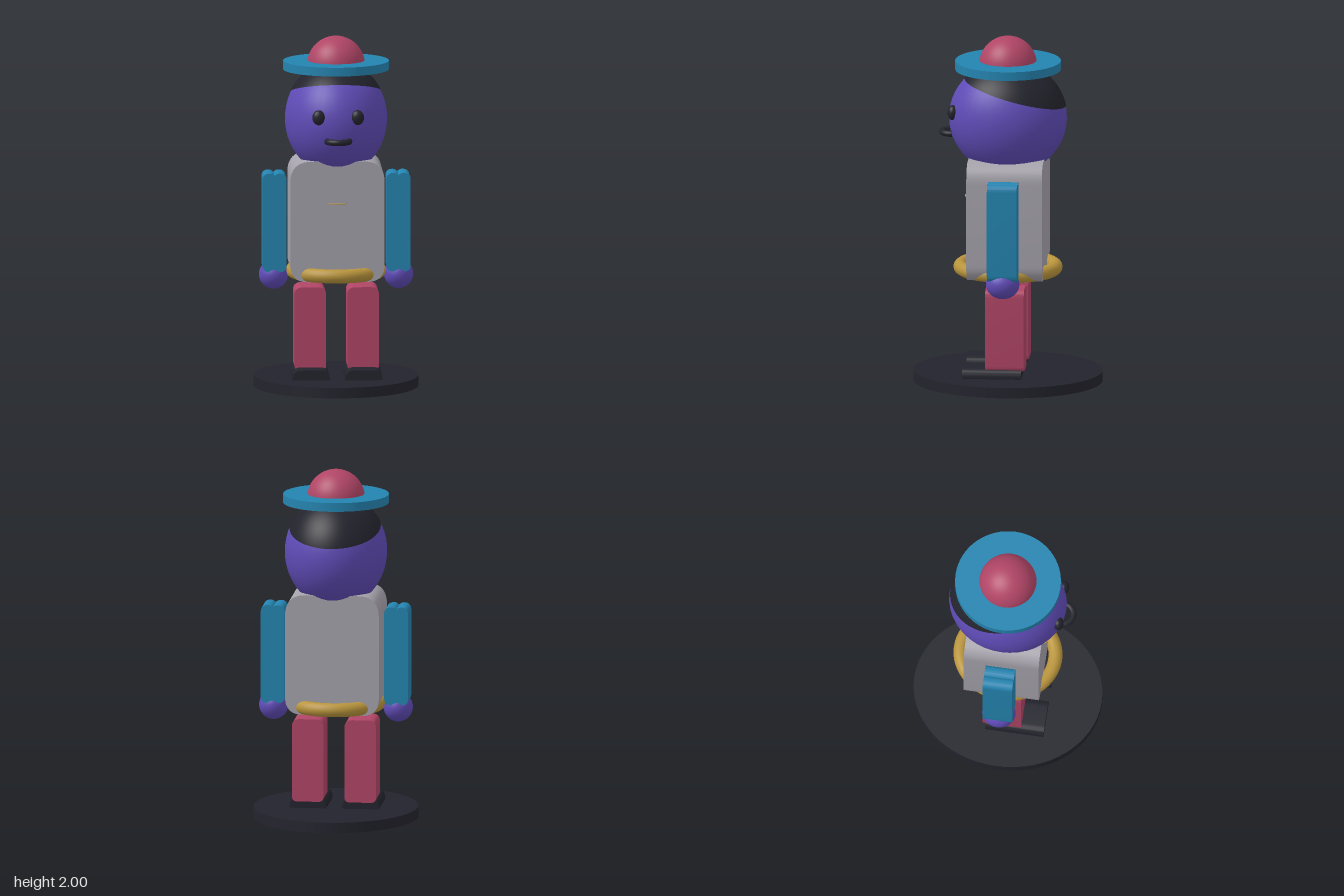
import * as THREE from 'three';
import { toCreasedNormals } from 'three/addons/utils/BufferGeometryUtils.js';

const material = (name, color) => {
  const m = new THREE.MeshStandardMaterial({ color });
  m.name = name;
  return m;
};

export function createModel() {
  const group = new THREE.Group();
  const purple = material('purple', 0x5f4bb6);
  const blue = material('blue', 0x2484b0);
  const red = material('red', 0xb04566);
  const grey = material('grey', 0xa5a2ab);
  const gold = material('gold', 0xb8943c);
  const dark = material('dark', 0x23232d);

  const add = (name, geometry, mat, x, y, z) => {
    const mesh = new THREE.Mesh(geometry, mat);
    mesh.name = name;
    mesh.position.set(x, y, z);
    group.add(mesh);
    return mesh;
  };
  const ellipsoid = (rx, ry, rz) => new THREE.SphereGeometry(1, 40, 28).scale(rx, ry, rz);

  // Block with a rounded front outline, flat front and back; dip lowers the middle of the top
  const block = (w, h, d, top, bottom, dip = 0) => {
    const s = new THREE.Shape();
    const x = w / 2, y = h / 2;
    s.moveTo(-x + bottom, -y);
    s.lineTo(x - bottom, -y);
    s.quadraticCurveTo(x, -y, x, -y + bottom);
    s.lineTo(x, y - top);
    s.quadraticCurveTo(x, y, x - top, y);
    if (dip) s.quadraticCurveTo((x - top) * 0.4, y, 0, y - dip);
    if (dip) s.quadraticCurveTo((top - x) * 0.4, y, top - x, y);
    else s.lineTo(-x + top, y);
    s.quadraticCurveTo(-x, y, -x, y - top);
    s.lineTo(-x, -y + bottom);
    s.quadraticCurveTo(-x, -y, -x + bottom, -y);
    const g = new THREE.ExtrudeGeometry(s, { depth: d, bevelEnabled: false, curveSegments: 10 });
    return toCreasedNormals(g.translate(0, 0, -d / 2), 0.5);
  };

  // Oval base
  add('base', new THREE.CylinderGeometry(1, 1, 0.06, 64).scale(0.467, 1, 0.537), dark, 0, 0.03, 0);

  // Torso, belt and chest badge
  add('torso', block(0.535, 0.69, 0.43, 0.12, 0.1), grey, 0, 0.965, 0);
  const belt = new THREE.TorusGeometry(0.27, 0.04, 16, 64).rotateX(Math.PI / 2).scale(0.92, 1, 1);
  add('belt', belt, gold, 0, 0.66, 0);
  const badge = new THREE.CylinderGeometry(0.06, 0.06, 0.003, 24).scale(1, 1, 0.6);
  add('badge', badge, gold, 0, 1.07, 0.21);

  // Limbs, mirrored
  for (const [side, s] of [['left', 1], ['right', -1]]) {
    add(side + 'Leg', block(0.18, 0.475, 0.22, 0.045, 0.03), red, s * 0.15, 0.337, 0);
    add(side + 'Foot', block(0.21, 0.06, 0.335, 0.05, 0.005), dark, s * 0.15, 0.087, 0.073);
    add(side + 'Arm', block(0.137, 0.565, 0.17, 0.04, 0.04, 0.014), blue, s * 0.352, 0.942, 0);
    add(side + 'Hand', ellipsoid(0.083, 0.083, 0.095), purple, s * 0.355, 0.637, 0);
    add(side + 'Eye', ellipsoid(0.037, 0.043, 0.03), dark, s * 0.11, 1.575, 0.305);
  }

  // Head with tilted hair cap and curved mouth
  const size = [0.29, 0.325, 0.335];
  add('head', ellipsoid(...size), purple, 0, 1.53, 0);
  const hair = new THREE.SphereGeometry(1.008, 48, 20, 0, Math.PI * 2, 0, 1.087);
  add('hair', hair.rotateX(-0.267).scale(...size), dark, 0, 1.53, 0);
  const mouth = new THREE.TorusGeometry(0.062, 0.018, 12, 24, Math.PI).rotateX(Math.PI / 2);
  add('mouth', mouth, dark, 0, 1.44, 0.312);

  // Hat
  add('hatBrim', new THREE.CylinderGeometry(0.3, 0.3, 0.05, 64), blue, 0, 1.835, 0);
  add('hatCrown', new THREE.SphereGeometry(0.164, 40, 16, 0, Math.PI * 2, 0, Math.PI / 2), red, 0, 1.836, 0);

  return group;
}
